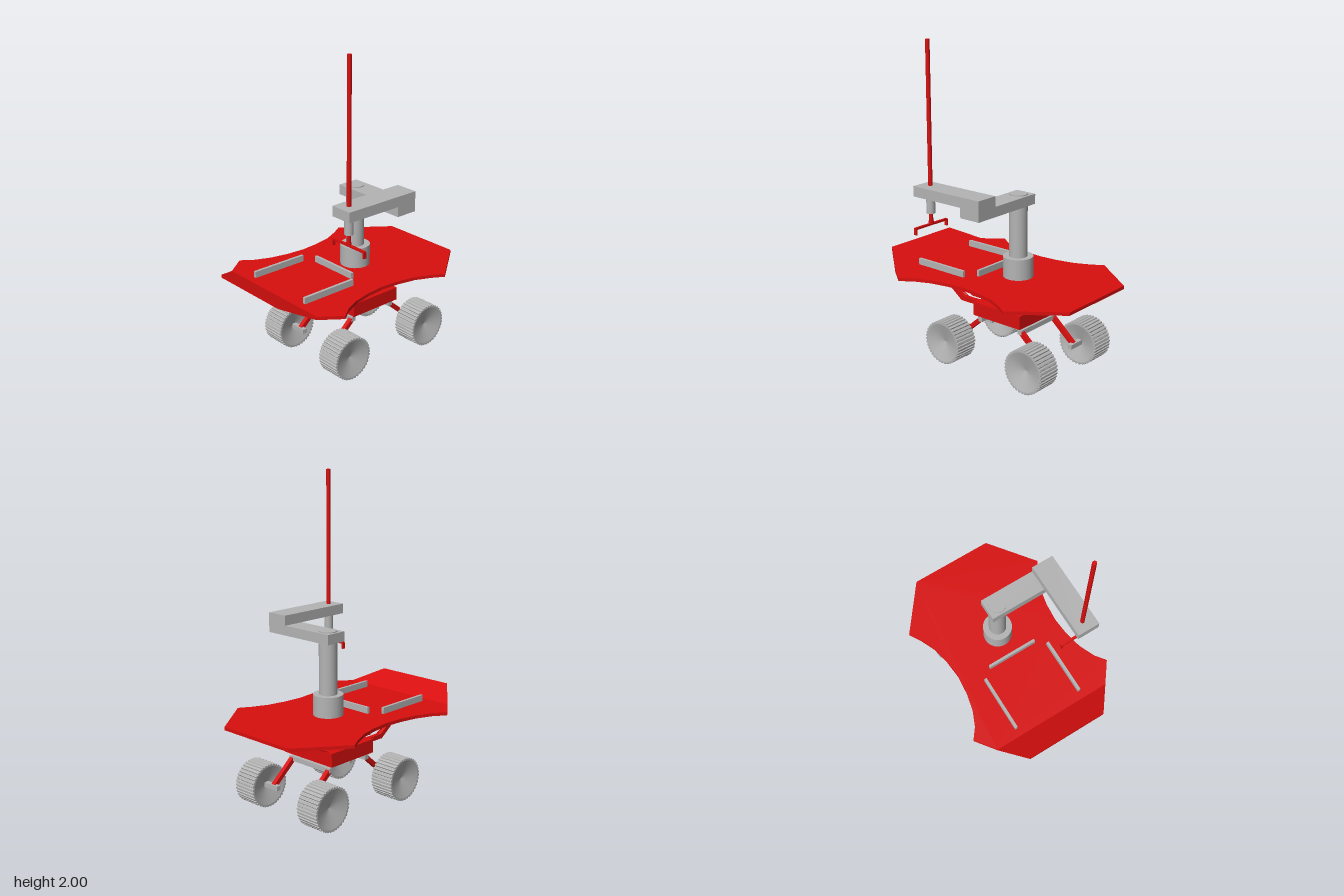
import * as THREE from 'three';

export function createModel() {
  const root = new THREE.Group();
  root.name = 'rover';
  const red = new THREE.MeshStandardMaterial({ color: 0xd90e0e });
  red.name = 'red paint';
  const grey = new THREE.MeshStandardMaterial({ color: 0xb4b4b4, side: THREE.DoubleSide });
  grey.name = 'grey metal';

  function add(name, geo, mat, x = 0, y = 0, z = 0, parent = root) {
    const m = new THREE.Mesh(geo, mat);
    m.name = name;
    m.position.set(x, y, z);
    parent.add(m);
    return m;
  }
  // box given by its extents
  function box(name, mat, x0, x1, y0, y1, z0, z1) {
    return add(name, new THREE.BoxGeometry(x1 - x0, y1 - y0, z1 - z0), mat,
      (x0 + x1) / 2, (y0 + y1) / 2, (z0 + z1) / 2);
  }
  function cylinder(name, mat, r, y0, y1, x, z, sides = 32) {
    return add(name, new THREE.CylinderGeometry(r, r, y1 - y0, sides), mat, x, (y0 + y1) / 2, z);
  }
  // square bar between two points, lengthened a little to close the joints
  function bar(name, mat, a, b, w, extra = 0) {
    const p = new THREE.Vector3(...a), q = new THREE.Vector3(...b);
    const d = q.clone().sub(p), len = d.length();
    const m = add(name, new THREE.BoxGeometry(w, len + extra, w), mat);
    m.position.copy(p).add(q).multiplyScalar(0.5);
    m.quaternion.setFromUnitVectors(new THREE.Vector3(0, 1, 0), d.normalize());
    return m;
  }
  // horizontal plate from one side of a mirrored outline of [x, z]
  function plate(side, depth) {
    const pts = [...side, ...side.slice().reverse().map(([x, z]) => [-x, z])];
    const shape = new THREE.Shape(pts.map(([x, z]) => new THREE.Vector2(x, -z)));
    return new THREE.ExtrudeGeometry(shape, { depth, bevelEnabled: false }).rotateX(-Math.PI / 2);
  }

  // Deck with waisted sides and an upturned front lip
  add('deck', plate([[0.27, -0.71], [0.495, -0.415], [0.45, -0.34], [0.405, -0.24], [0.38, -0.12],
    [0.37, 0], [0.38, 0.12], [0.405, 0.235], [0.45, 0.34], [0.503, 0.41], [0.405, 0.54]], 0.02), red, 0, 0.54, 0);
  const lip = plate([[0.405, 0.54], [0.27, 0.708]], 0.02);
  const lp = lip.attributes.position;
  for (let i = 0; i < lp.count; i++) lp.setY(i, lp.getY(i) + (lp.getZ(i) - 0.54) * 0.45);
  lip.computeVertexNormals();
  add('deckLip', lip, red, 0, 0.54, 0);

  // Rails on the deck
  box('crossRail', grey, -0.17, 0.17, 0.56, 0.6, 0.05, 0.067);
  for (const s of [-1, 1]) box('sideRail', grey, s * 0.235 - 0.009, s * 0.235 + 0.009, 0.56, 0.6, 0.115, 0.49);

  // Body under the deck
  box('body', red, -0.2, 0.2, 0.315, 0.4, -0.295, 0.07);
  box('keel', red, -0.03, 0.03, 0.27, 0.3, -0.22, -0.01);
  for (const z of [0.015, -0.21]) bar('keelPin', red, [0, 0.28, z], [0, 0.32, z], 0.008);

  // Bent struts and thin stays that hold the deck
  for (const x of [-0.1, 0, 0.1]) {
    const path = [[x, 0.545, 0.388], [x, 0.46, 0.388], [x, 0.355, 0.245], [x, 0.355, 0.06]];
    for (let i = 0; i < 3; i++) bar('strut', red, path[i], path[i + 1], 0.029, i === 1 ? 0.016 : 0);
  }
  for (const x of [-0.165, 0, 0.165]) {
    bar('frontStay', red, [x, 0.365, 0.065], [x, 0.545, 0.385], 0.005);
    bar('rearStay', red, [x, 0.4, -0.285], [x, 0.545, -0.615], 0.005);
  }

  // Turret column and two-part arm
  cylinder('turretBase', grey, 0.093, 0.555, 0.69, 0, -0.118);
  cylinder('turretColumn', grey, 0.056, 0.69, 1.083, 0, -0.118);
  box('lowerArm', grey, -0.07, 0.44, 1.015, 1.077, -0.19, -0.05);
  box('upperArm', grey, 0.295, 0.44, 1.077, 1.14, -0.19, 0.325);

  // Lift rod with gripper
  cylinder('rodSleeve', grey, 0.027, 0.97, 1.08, 0.362, 0.26, 20);
  cylinder('liftRod', red, 0.013, 0.9, 2, 0.362, 0.26, 16);
  cylinder('rodCollar', red, 0.016, 0.905, 0.92, 0.362, 0.26, 16);
  box('gripperBar', red, 0.227, 0.497, 0.895, 0.907, 0.252, 0.268);
  for (const x of [0.232, 0.492]) box('gripperFinger', red, x - 0.005, x + 0.005, 0.863, 0.9, 0.25, 0.27);

  // Toothed wheel, axis along x, with a dished disc on each side
  const R = 0.137, W = 0.156, teeth = 38, outline = [];
  for (let i = 0; i < teeth; i++) {
    for (const [f, r] of [[0, R], [0.45, R], [0.6, R - 0.007], [0.85, R - 0.007]]) {
      const a = (i + f) / teeth * Math.PI * 2;
      outline.push(new THREE.Vector2(Math.cos(a) * r, Math.sin(a) * r));
    }
  }
  const tread = new THREE.Shape(outline);
  tread.holes.push(new THREE.Path().absarc(0, 0, 0.122, 0, Math.PI * 2, true));
  const tyreGeo = new THREE.ExtrudeGeometry(tread, { depth: W, bevelEnabled: false, curveSegments: 24 })
    .translate(0, 0, -W / 2).rotateY(Math.PI / 2);
  const discGeo = new THREE.LatheGeometry([new THREE.Vector2(0, W / 2 - 0.035),
    new THREE.Vector2(0.123, W / 2)], 48).rotateZ(-Math.PI / 2);

  // Cross bars, legs, axles and wheels
  for (const [barZ, axleZ] of [[0.045, 0.206], [-0.27, -0.436]]) {
    box('crossBar', grey, -0.17, 0.17, 0.267, 0.297, barZ - 0.015, barZ + 0.015);
    for (const s of [-1, 1]) {
      bar('leg', red, [s * 0.155, 0.282, barZ], [s * 0.155, 0.14, axleZ], 0.028);
      const axle = add('axle', new THREE.BoxGeometry(0.14, 0.03, 0.03), grey, s * 0.18, 0.14, axleZ);
      axle.name = s > 0 ? 'leftAxle' : 'rightAxle';
      const wheel = new THREE.Group();
      wheel.name = 'wheel';
      wheel.position.set(s * 0.267, R, axleZ);
      root.add(wheel);
      add('tyre', tyreGeo, grey, 0, 0, 0, wheel);
      add('outerDisc', discGeo, grey, 0, 0, 0, wheel);
      add('innerDisc', discGeo, grey, 0, 0, 0, wheel).rotation.y = Math.PI;
    }
  }
  return root;
}
